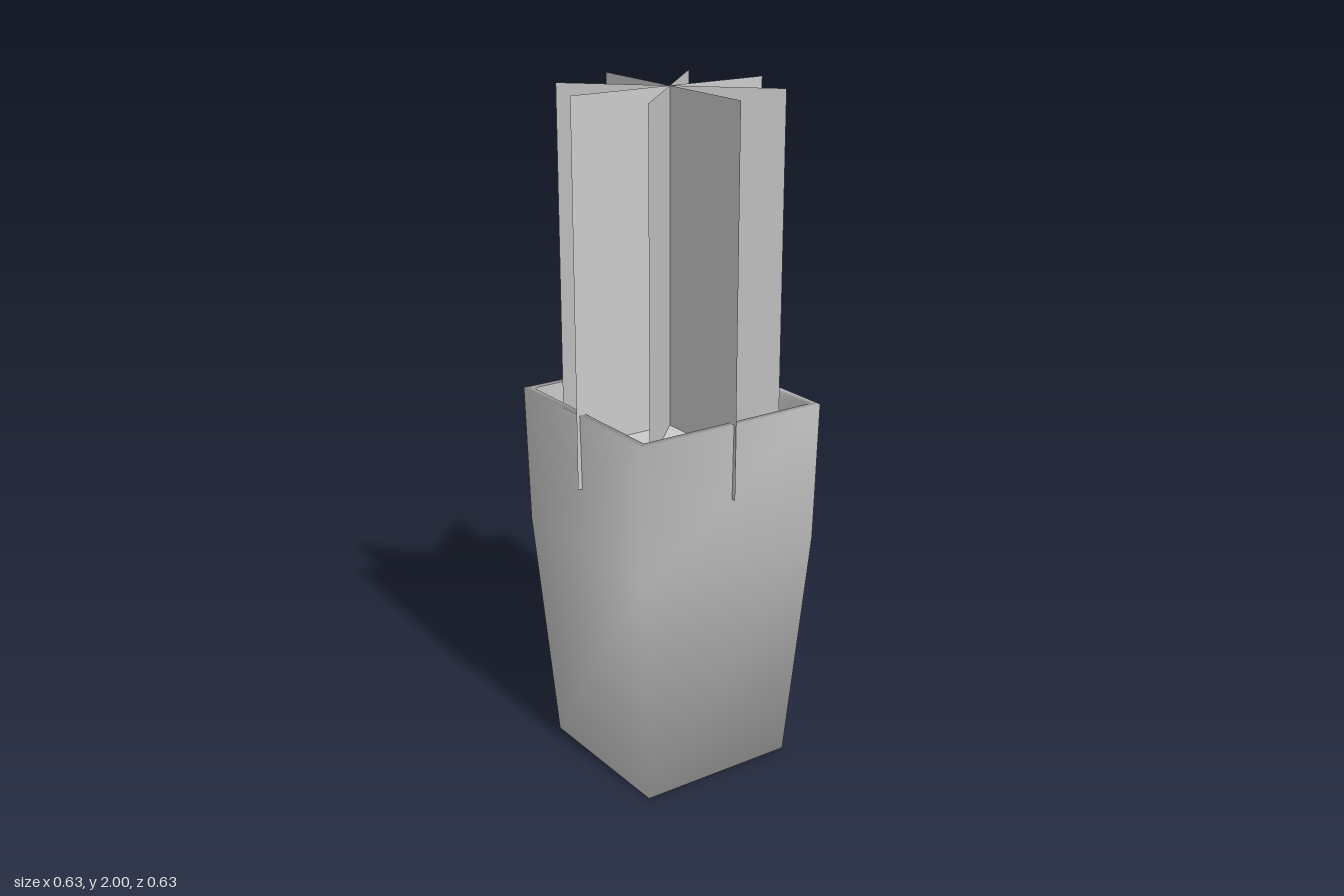
import * as THREE from 'three';

const material = new THREE.MeshStandardMaterial({ color: 0xcccccc, side: THREE.DoubleSide });

// Square rings joined into one smooth shell; each level is [halfWidth, y]
function squareShell(levels) {
  const corners = [[-1, 1], [1, 1], [1, -1], [-1, -1]]; // counter-clockwise from above
  const positions = [], index = [];
  for (const [half, y] of levels) {
    for (const [x, z] of corners) positions.push(x * half, y, z * half);
  }
  for (let l = 0; l < levels.length - 1; l++) {
    for (let i = 0; i < 4; i++) {
      const a = l * 4 + i, b = l * 4 + (i + 1) % 4;
      index.push(a, b, b + 4, a, b + 4, a + 4);
    }
  }
  index.push(0, 2, 1, 0, 3, 2); // underside
  const geometry = new THREE.BufferGeometry();
  geometry.setAttribute('position', new THREE.Float32BufferAttribute(positions, 3));
  geometry.setIndex(index);
  geometry.computeVertexNormals();
  return geometry;
}

function addMesh(parent, name, geometry) {
  const mesh = new THREE.Mesh(geometry, material);
  mesh.name = name;
  parent.add(mesh);
  return mesh;
}

export function createModel() {
  const model = new THREE.Group();
  model.name = 'pottedPlant';

  // Tapered square pot: outer wall, flat rim, short inner wall
  const floorY = 1.03, inner = 0.283;
  addMesh(model, 'pot', squareShell([
    [0.247, 0], [0.297, 0.71], [0.305, 1.12], [inner, 1.12], [inner, floorY],
  ]));

  // Soil surface inside the rim
  const soil = addMesh(model, 'soil', new THREE.PlaneGeometry(inner * 2, inner * 2));
  soil.rotation.x = -Math.PI / 2;
  soil.position.y = floorY;

  // Foliage: four upright cards crossing on the central axis
  const foliage = new THREE.Group();
  foliage.name = 'foliage';
  const bottom = 0.9, top = 2;
  for (let i = 0; i < 4; i++) {
    const card = addMesh(foliage, `foliageCard${i + 1}`, new THREE.PlaneGeometry(0.63, top - bottom));
    card.position.y = (top + bottom) / 2;
    card.rotation.y = i * Math.PI / 4;
  }
  model.add(foliage);

  return model;
}
